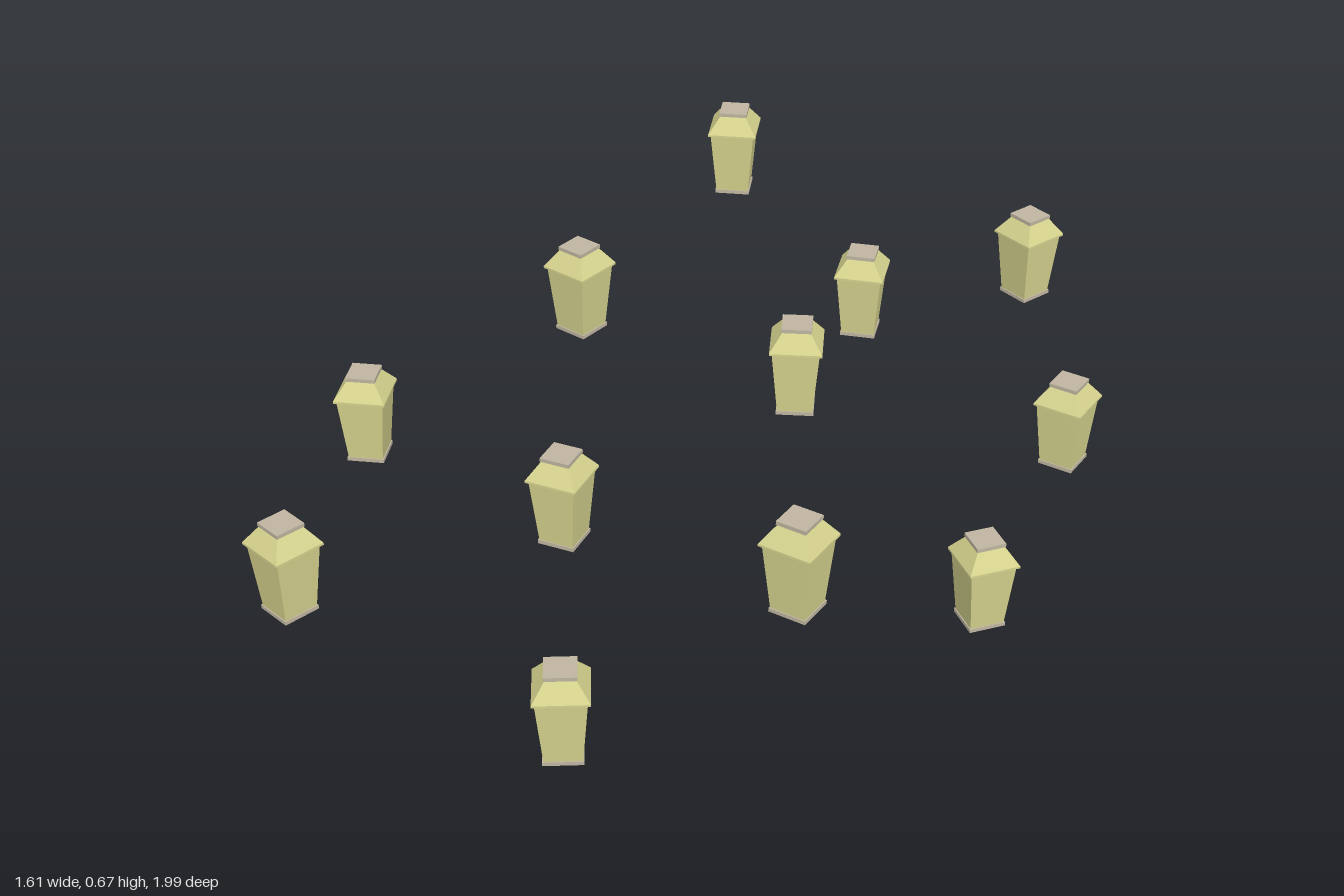
import * as THREE from 'three';

const paper = new THREE.MeshStandardMaterial({ color: 0xd6d38e, flatShading: true });
paper.name = 'paleYellowPaper';
const trim = new THREE.MeshStandardMaterial({ color: 0xbfb5a0, flatShading: true });
trim.name = 'greyTrim';

// Square tapered block, given side lengths at the top and bottom and its two heights
function taper(topSide, bottomSide, y0, y1) {
  const g = new THREE.CylinderGeometry(topSide / Math.SQRT2, bottomSide / Math.SQRT2, y1 - y0, 4);
  g.rotateY(Math.PI / 4);
  g.translate(0, (y0 + y1) / 2, 0);
  return g;
}

const parts = [
  ['base', taper(0.086, 0.086, 0, 0.009), trim],
  ['body', taper(0.108, 0.081, 0.009, 0.165), paper],
  ['eave', taper(0.12, 0.12, 0.165, 0.17), paper],
  ['roof', taper(0.064, 0.12, 0.17, 0.211), paper],
  ['cap', taper(0.069, 0.069, 0.211, 0.22), trim],
];

// x, bottom y, z, turn in degrees
const placements = [
  [-0.29, 0.445, -0.857, 16],
  [0.483, 0.278, -0.917, -28],
  [0.14, 0.23, -0.655, 11],
  [0.733, 0.115, -0.455, -9],
  [-0.393, 0.37, -0.17, -15],
  [0.187, 0.336, -0.098, 19],
  [0.706, 0, 0.07, 43],
  [-0.733, 0.187, 0.27, 16],
  [-0.142, 0.22, 0.438, 0],
  [0.483, 0.35, 0.63, -9],
  [-0.56, 0.215, 0.895, -22],
  [0.088, 0.058, 0.915, 26],
];

export function createModel() {
  const model = new THREE.Group();
  model.name = 'floatingLanterns';
  placements.forEach(([x, y, z, turn], i) => {
    const lantern = new THREE.Group();
    lantern.name = `lantern${i + 1}`;
    for (const [name, geometry, material] of parts) {
      const mesh = new THREE.Mesh(geometry, material);
      mesh.name = name;
      lantern.add(mesh);
    }
    lantern.position.set(x, y, z);
    lantern.rotation.y = THREE.MathUtils.degToRad(turn);
    model.add(lantern);
  });
  return model;
}
